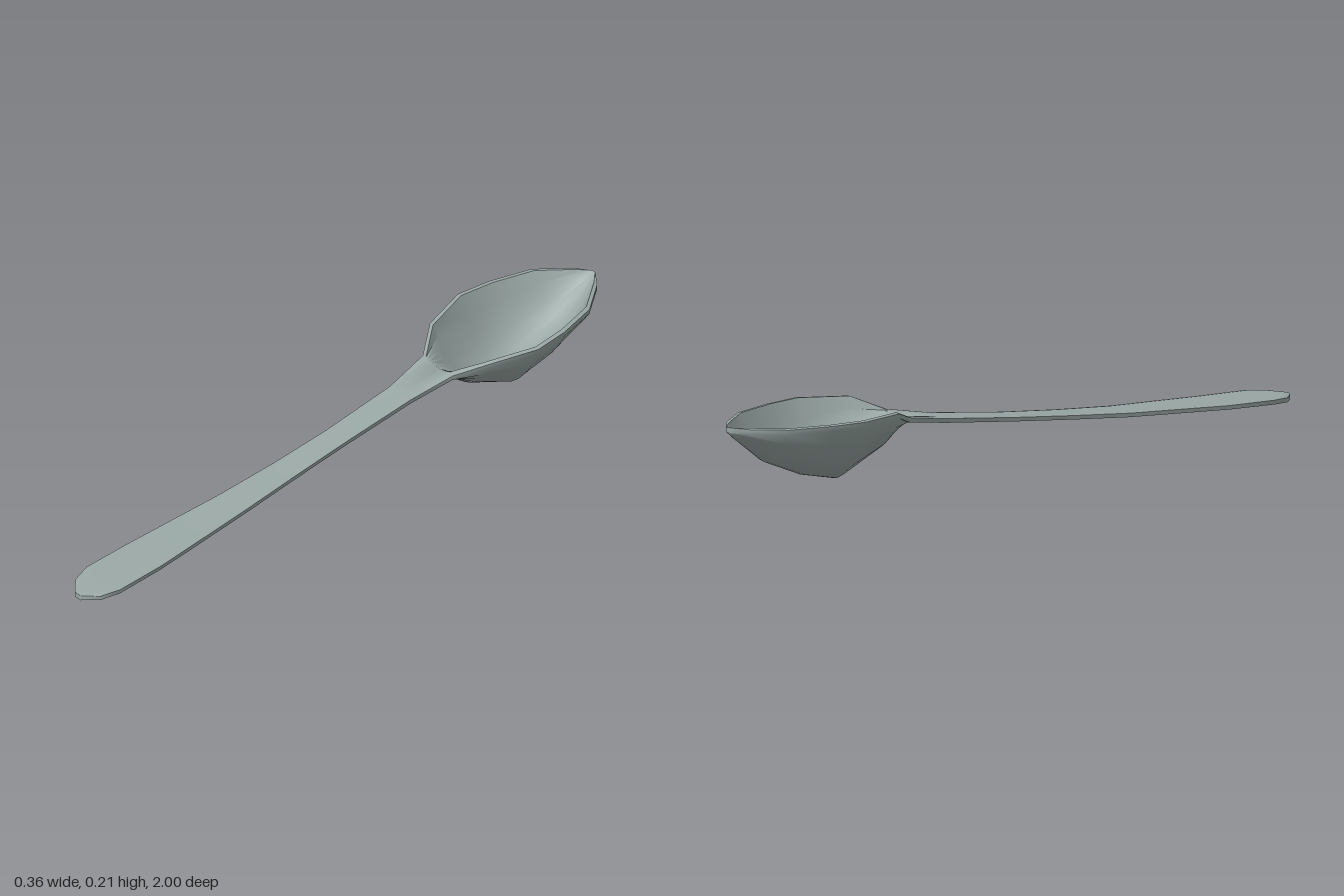
import * as THREE from 'three';
import { toCreasedNormals } from 'three/addons/utils/BufferGeometryUtils.js';

// Stations from bowl tip to handle end: z, half width, rim height, thickness, bowl depth
const STATIONS = [
  [-1.0, 0.008, 0.206, 0.016, 0],
  [-0.965, 0.055, 0.207, 0.017, 0.03],
  [-0.87, 0.13, 0.207, 0.017, 0.107],
  [-0.74, 0.166, 0.207, 0.017, 0.164],
  [-0.63, 0.179, 0.207, 0.017, 0.19],
  [-0.48, 0.132, 0.2, 0.016, 0.115],
  [-0.395, 0.066, 0.162, 0.016, 0.007],
  [-0.25, 0.045, 0.134, 0.015, 0],
  [0.0, 0.041, 0.1, 0.014, 0],
  [0.2, 0.045, 0.077, 0.014, 0],
  [0.4, 0.054, 0.057, 0.014, 0],
  [0.74, 0.073, 0.034, 0.014, 0],
  [0.9, 0.074, 0.027, 0.015, 0],
  [0.96, 0.055, 0.022, 0.016, 0],
  [1.0, 0.012, 0.018, 0.017, 0],
];
const STEPS = 12;

// Closed cross-section: parabolic underside, upright lip, parabolic hollow
function section([z, w, rim, thick, depth]) {
  const points = [];
  const inner = w - Math.min(0.014, w * 0.3);
  for (let i = 0; i <= STEPS; i++) {
    const u = (i / STEPS) * 2 - 1;
    points.push([u * w, rim - thick - depth * (1 - u * u), z]);
  }
  points.push([w, rim - 0.002, z]);
  for (let i = STEPS; i >= 0; i--) {
    const u = (i / STEPS) * 2 - 1;
    points.push([u * inner, rim - depth * (1 - u * u), z]);
  }
  points.push([-w, rim - 0.002, z]);
  return points;
}

function loft(loops) {
  const n = loops[0].length;
  const index = [];
  for (let i = 0; i < loops.length - 1; i++) {
    for (let j = 0; j < n; j++) {
      const k = (j + 1) % n;
      const a = i * n + j, b = i * n + k, c = b + n, d = a + n;
      index.push(a, b, c, a, c, d);
    }
  }
  // Closed ends
  const last = (loops.length - 1) * n;
  for (let j = 1; j < n - 1; j++) {
    index.push(0, j + 1, j, last, last + j, last + j + 1);
  }
  const geometry = new THREE.BufferGeometry();
  geometry.setAttribute('position', new THREE.Float32BufferAttribute(loops.flat(2), 3));
  geometry.setIndex(index);
  return toCreasedNormals(geometry, 0.85);
}

export function createModel() {
  const group = new THREE.Group();
  group.name = 'spoon';
  const metal = new THREE.MeshStandardMaterial({ color: 0x9aa8a5 });
  metal.name = 'grey metal';

  // Bowl and handle are one continuous piece
  const body = new THREE.Mesh(loft(STATIONS.map(section)), metal);
  body.name = 'bowlAndHandle';
  group.add(body);
  return group;
}
